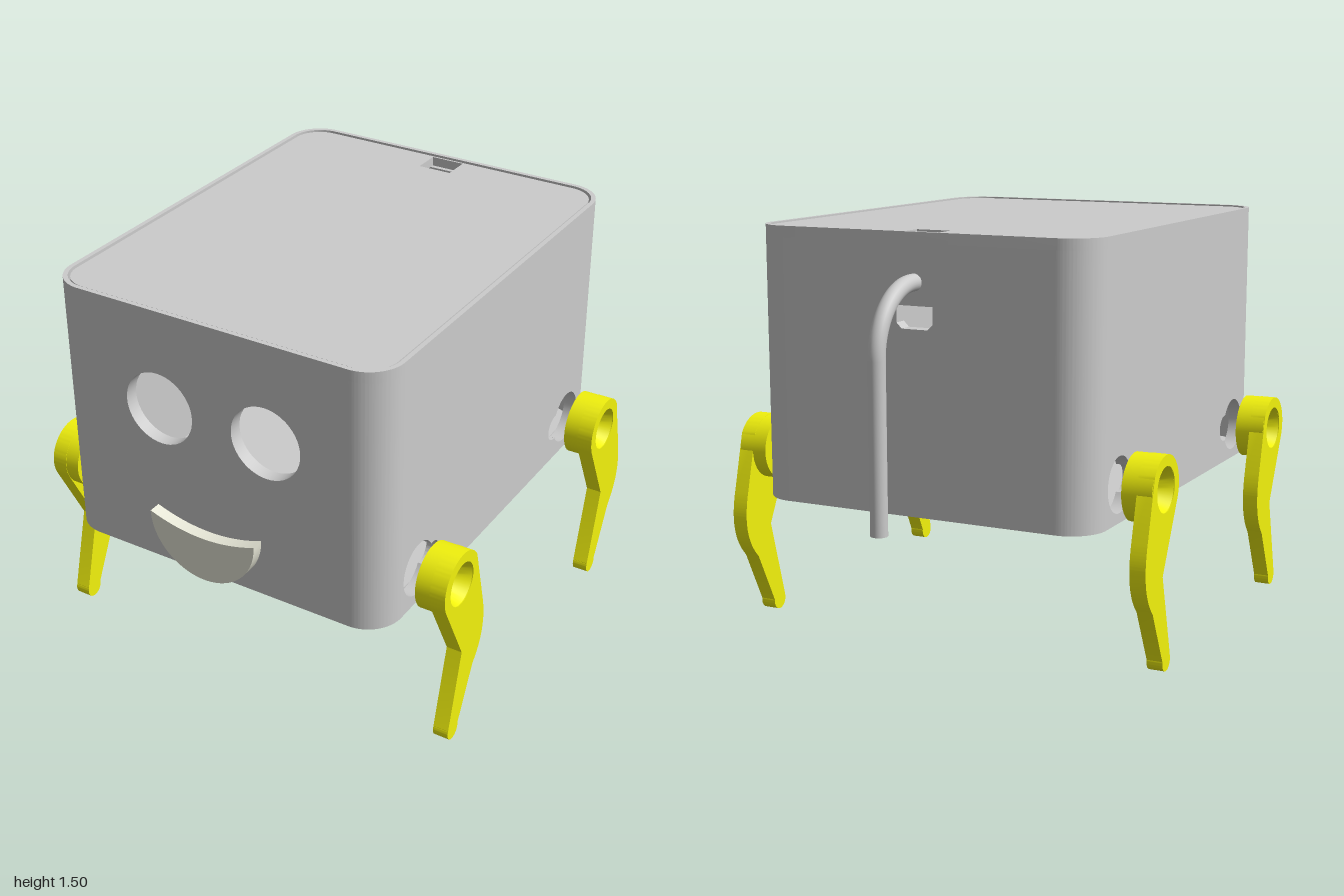
import * as THREE from 'three';
import { toCreasedNormals } from 'three/addons/utils/BufferGeometryUtils.js';

const grey = new THREE.MeshStandardMaterial({ color: 0xcccccc });
const yellow = new THREE.MeshStandardMaterial({ color: 0xf2f20d });
const cream = new THREE.MeshStandardMaterial({ color: 0xe8e8d8 });

// Box size: half width, half length, corner radius, wall, bottom, lip and top heights
const HX = 0.655, HZ = 0.8175, R = 0.13, T = 0.05;
const Y0 = 0.515, Y1 = 1.46, Y2 = 1.5;
const HUB_Y = 0.65;

function add(parent, name, geometry, material = grey) {
  const mesh = new THREE.Mesh(geometry, material);
  mesh.name = name;
  parent.add(mesh);
  return mesh;
}

function extrude(shape, depth, curveSegments = 24) {
  return toCreasedNormals(
    new THREE.ExtrudeGeometry(shape, { depth, curveSegments, bevelEnabled: false }), 0.5);
}

// Extrude a plan (x, -z) upwards from height y
const slab = (shape, y, height) => extrude(shape, height).rotateX(-Math.PI / 2).translate(0, y, 0);

function polygon(points, Type = THREE.Shape) {
  return new Type(points.map(([x, y]) => new THREE.Vector2(x, y)));
}

const rect = (x0, y0, x1, y1, Type) => polygon([[x0, y0], [x1, y0], [x1, y1], [x0, y1]], Type);

function circle(x, y, r) {
  return new THREE.Path().absarc(x, y, r, 0, Math.PI * 2, false);
}

// Rounded outline of the box, inset by d
function roundedPlan(d, Type = THREE.Shape) {
  const w = HX - R, h = HZ - R, r = R - d, q = Math.PI / 2;
  return new Type()
    .absarc(w, h, r, 0, q, false)
    .absarc(-w, h, r, q, 2 * q, false)
    .absarc(-w, -h, r, 2 * q, 3 * q, false)
    .absarc(w, -h, r, 3 * q, 4 * q, false);
}

// Large round opening with a small bump towards the middle of the wall
function keyhole(x, y, dir) {
  const pts = new THREE.Path()
    .absarc(0, 0, 0.1, 0.514, Math.PI * 2 - 0.514, false)
    .absarc(0.095, 0, 0.05, -1.73, 1.73, false)
    .getPoints(20);
  return polygon(pts.map(p => [x + dir * p.x, y + p.y]), THREE.Path);
}

function makeBody() {
  const body = new THREE.Group();
  body.name = 'body';
  body.position.z = 0.0975;

  const panel = (name, halfWidth, distance, angle, holes) => {
    const shape = rect(-halfWidth, Y0, halfWidth, Y1);
    shape.holes.push(...holes);
    const geometry = extrude(shape, T).translate(0, 0, distance - T);
    add(body, name, geometry).rotation.y = angle;
  };
  const hubHoles = () => [keyhole(0.575, HUB_Y, -1), keyhole(-0.575, HUB_Y, 1)];
  const latchSlot = polygon([[-0.05, 1.17], [0.05, 1.17], [0.07, 1.19], [0.07, 1.25], [-0.07, 1.25], [-0.07, 1.19]], THREE.Path);

  panel('frontWall', HX - R, HZ, 0, [circle(-0.213, 1.13, 0.135), circle(0.213, 1.13, 0.135)]);
  panel('backWall', HX - R, HZ, Math.PI, [latchSlot]);
  panel('leftWall', HZ - R, HX, Math.PI / 2, hubHoles());
  panel('rightWall', HZ - R, HX, -Math.PI / 2, hubHoles());

  // Rounded vertical corners
  for (let i = 0; i < 4; i++) {
    const a = i * Math.PI / 2;
    const cx = (i === 0 || i === 3 ? 1 : -1) * (HX - R);
    const cy = (i < 2 ? 1 : -1) * (HZ - R);
    const arc = new THREE.Shape()
      .absarc(cx, cy, R, a, a + Math.PI / 2, false)
      .absarc(cx, cy, R - T, a + Math.PI / 2, a, true);
    add(body, 'corner', slab(arc, Y0, Y1 - Y0));
  }
  add(body, 'floor', slab(roundedPlan(T), Y0, 0.04));

  // Thin lip around the inset lid
  const lip = roundedPlan(0);
  lip.holes.push(roundedPlan(0.017, THREE.Path));
  add(body, 'lip', slab(lip, Y1, Y2 - Y1));

  // Lid with a finger notch and the hooked latch below it
  const lid = roundedPlan(0.025);
  lid.holes.push(rect(-0.065, 0.68, 0.065, 0.785, THREE.Path));
  add(body, 'lid', slab(lid, Y1, 0.035));
  const hook = polygon([[0.67, 1.46], [0.67, 1.37], [0.7, 1.34], [0.76, 1.34], [0.765, 1.4],
    [0.74, 1.4], [0.73, 1.37], [0.71, 1.37], [0.685, 1.39], [0.685, 1.46]]);
  add(body, 'lidLatch', extrude(hook, 0.13).translate(0, 0, -0.065).rotateY(Math.PI / 2));
  return body;
}

// Leg side view: x runs backwards and y up from the hub centre
function legShape() {
  const s = new THREE.Shape()
    .absarc(0, 0, 0.12, 0.53, 3.64, false)
    .lineTo(0.017, -0.3)
    .lineTo(-0.063, -0.595)
    .absarc(-0.03, -0.612, 0.036, 2.7, 6.48, false)
    .lineTo(0.103, -0.407)
    .quadraticCurveTo(0.172, -0.34, 0.172, -0.246)
    .quadraticCurveTo(0.172, -0.2, 0.156, -0.145);
  s.closePath();
  s.holes.push(circle(0, 0, 0.08));
  return s;
}

function makeLeg(side, z, name) {
  const leg = new THREE.Group();
  leg.name = name;
  leg.position.set(0, HUB_Y, z);
  const blade = extrude(legShape(), 0.058).rotateY(Math.PI / 2);
  blade.translate(side > 0 ? 0.765 : -0.823, 0, 0);
  add(leg, 'blade', blade, yellow);

  // Hub ring with a countersunk screw hole
  const profile = [[0.03, 0], [0.119, 0], [0.119, 0.11], [0.08, 0.11], [0.055, 0.05], [0.03, 0.05], [0.03, 0]]
    .map(([r, h]) => new THREE.Vector2(r, h));
  const hub = toCreasedNormals(new THREE.LatheGeometry(profile, 40), 0.5);
  hub.rotateZ(-side * Math.PI / 2).translate(side * 0.71, 0, 0);
  add(leg, 'hub', hub, yellow);
  return leg;
}

function makeMouth() {
  const mouth = new THREE.Group();
  mouth.name = 'mouth';
  const smile = new THREE.Shape()
    .absarc(0, 0.77, 0.212, Math.PI, Math.PI * 2, false)
    .quadraticCurveTo(0, 0.69, -0.212, 0.77);
  add(mouth, 'smile', extrude(smile, 0.045).translate(0, 0, 0.955), cream);
  const stem = new THREE.CylinderGeometry(0.045, 0.045, 0.06, 32);
  add(mouth, 'stem', stem.rotateX(Math.PI / 2).translate(0, HUB_Y, 0.93), cream);
  return mouth;
}

function makeTail() {
  const tail = new THREE.Group();
  tail.name = 'tail';
  const r = 0.03, bend = 0.23, z = -0.97, y = 1.33, tip = 0.51;
  // Straight root, quarter bend, straight drop
  const root = new THREE.CylinderGeometry(r, r, 0.06, 24);
  add(tail, 'root', root.rotateX(Math.PI / 2).translate(0, y, z + bend + 0.03));
  const arc = new THREE.TorusGeometry(bend, r, 24, 24, Math.PI / 2);
  add(tail, 'bend', arc.rotateY(Math.PI / 2).translate(0, y - bend, z + bend));
  const length = y - bend - tip;
  add(tail, 'drop', new THREE.CylinderGeometry(r, r, length, 24).translate(0, tip + length / 2, z));
  return tail;
}

export function createModel() {
  const model = new THREE.Group();
  model.name = 'walkingBox';
  model.add(makeBody(), makeMouth(), makeTail());
  for (const [side, sideName] of [[1, 'Left'], [-1, 'Right']]) {
    model.add(makeLeg(side, 0.675, 'front' + sideName + 'Leg'));
    model.add(makeLeg(side, -0.475, 'back' + sideName + 'Leg'));
  }
  return model;
}
